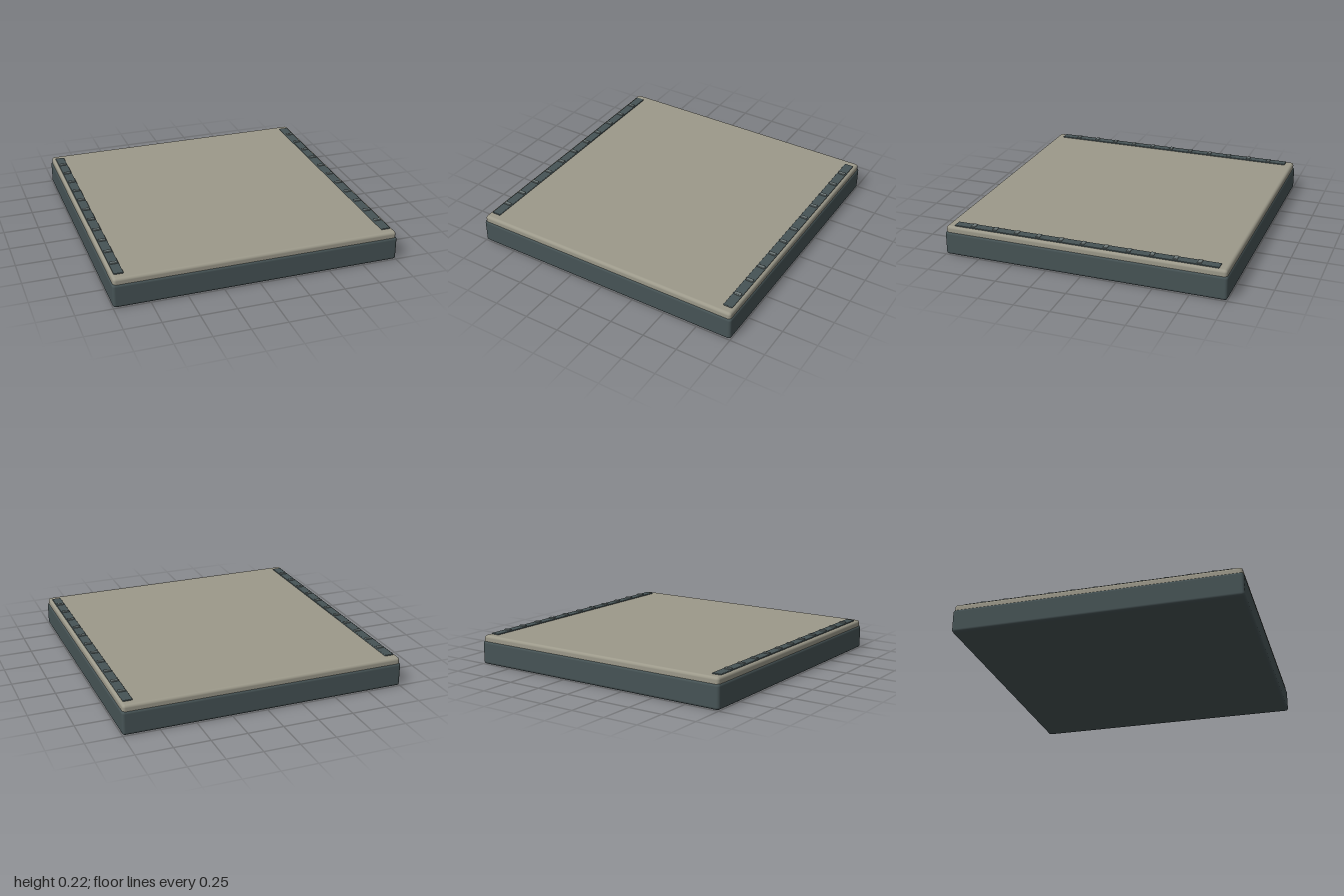
import * as THREE from 'three';
import { RoundedBoxGeometry } from 'three/addons/geometries/RoundedBoxGeometry.js';

const dark = new THREE.MeshStandardMaterial({ color: 0x465355 });
const stone = new THREE.MeshStandardMaterial({ color: 0x9c998a });
const steel = new THREE.MeshStandardMaterial({ color: 0x6c7777 });

// Rounded block spanning y0..y1
function block(name, width, y0, y1, depth, radius, material) {
  const geometry = new RoundedBoxGeometry(width, y1 - y0, depth, 4, radius);
  const mesh = new THREE.Mesh(geometry, material);
  mesh.name = name;
  mesh.position.y = (y0 + y1) / 2;
  return mesh;
}

export function createModel() {
  const model = new THREE.Group();
  model.name = 'floorTile';

  // Heavy base and the slab resting in it
  model.add(block('base', 2, 0, 0.17, 2, 0.02, dark));
  model.add(block('slab', 1.985, 0.14, 0.21, 1.985, 0.02, stone));

  // Strip along each side, with evenly spaced raised cleats
  for (const side of [-1, 1]) {
    const strip = new THREE.Group();
    strip.name = side > 0 ? 'leftStrip' : 'rightStrip';
    strip.position.x = side * 0.94;
    strip.add(block('rail', 0.066, 0.2, 0.217, 1.87, 0.005, dark));
    for (let i = -5; i <= 5; i++) {
      const cleat = block('cleat', 0.05, 0.207, 0.225, 0.028, 0.005, steel);
      cleat.position.z = i * 0.16;
      strip.add(cleat);
    }
    model.add(strip);
  }
  return model;
}
